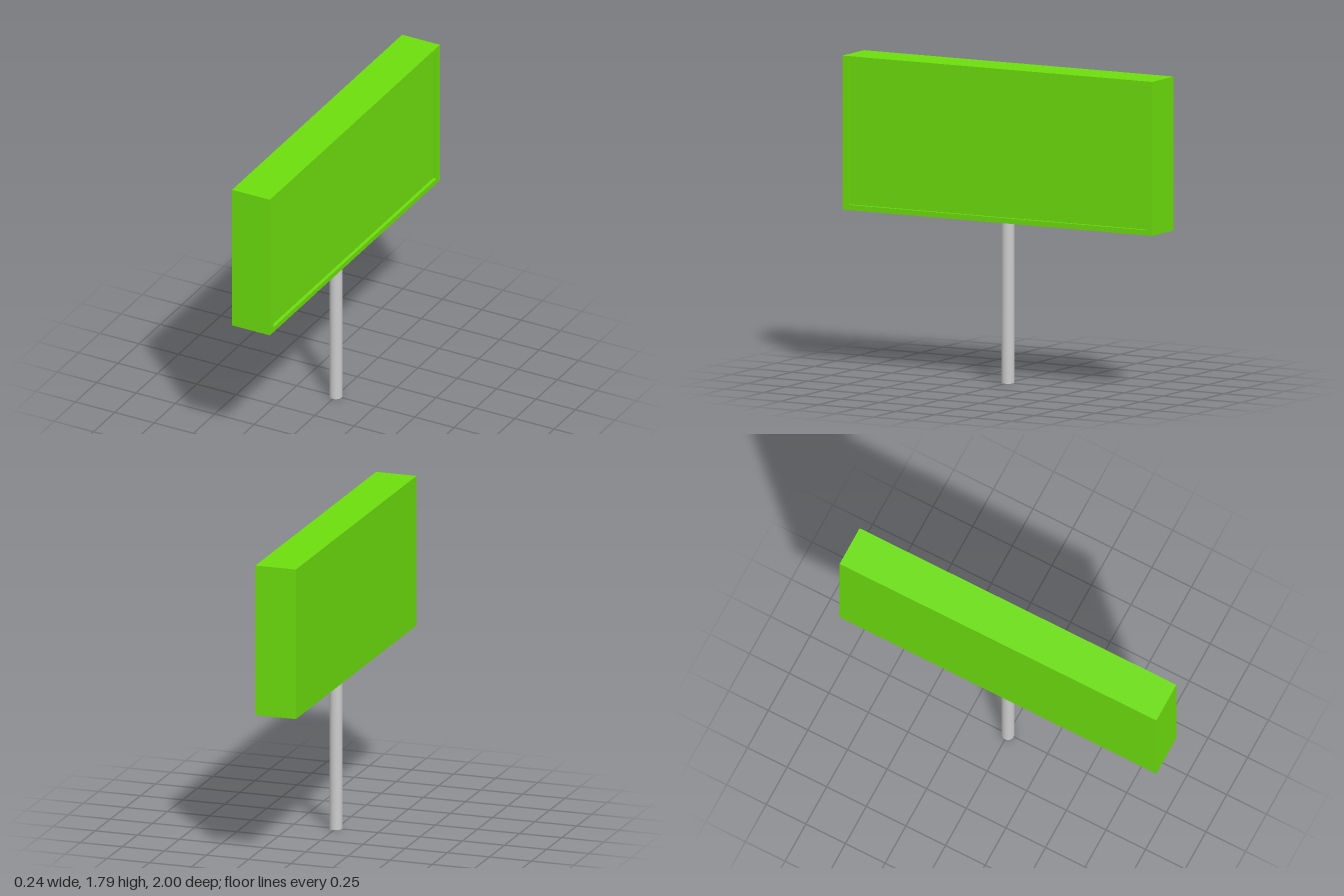
import * as THREE from 'three';

const Y0 = 0.92, Y1 = 1.79;   // bottom and top of the sign box
const HALF_DEPTH = 0.12, HALF_WIDTH = 1;
const RECESS = 0.02, INSET_Z = 0.04, INSET_Y = 0.03;

// Four corners of a rectangle at a given x, counterclockwise seen from +x
function ring(x, insetZ = 0, insetY = 0) {
  const z = HALF_WIDTH - insetZ, b = Y0 + insetY, t = Y1 - insetY;
  return [[x, b, z], [x, b, -z], [x, t, -z], [x, t, z]];
}

// Closed box with a shallow framed recess in its +x face
function signBoxGeometry() {
  const rings = [
    ring(-HALF_DEPTH),
    ring(HALF_DEPTH),
    ring(HALF_DEPTH, INSET_Z, INSET_Y),
    ring(HALF_DEPTH - RECESS, INSET_Z, INSET_Y),
  ];
  const positions = [];
  const quad = (a, b, c, d) => positions.push(...a, ...b, ...c, ...a, ...c, ...d);

  for (let r = 0; r < rings.length - 1; r++) {
    for (let i = 0; i < 4; i++) {
      const j = (i + 1) % 4;
      quad(rings[r][i], rings[r][j], rings[r + 1][j], rings[r + 1][i]);
    }
  }
  quad(...rings[0].slice().reverse()); // plain back
  quad(...rings[rings.length - 1]);    // recessed display panel

  const geometry = new THREE.BufferGeometry();
  geometry.setAttribute('position', new THREE.Float32BufferAttribute(positions, 3));
  geometry.computeVertexNormals();
  return geometry;
}

export function createModel() {
  const model = new THREE.Group();
  model.name = 'signpost';

  // Sign box
  const signBox = new THREE.Mesh(
    signBoxGeometry(),
    new THREE.MeshStandardMaterial({ color: 0x6cdd0c })
  );
  signBox.name = 'signBox';
  model.add(signBox);

  // Post under the centre of the box
  const post = new THREE.Mesh(
    new THREE.CylinderGeometry(0.036, 0.036, Y0, 32),
    new THREE.MeshStandardMaterial({ color: 0xcccccc })
  );
  post.name = 'post';
  post.position.y = Y0 / 2;
  model.add(post);

  return model;
}
